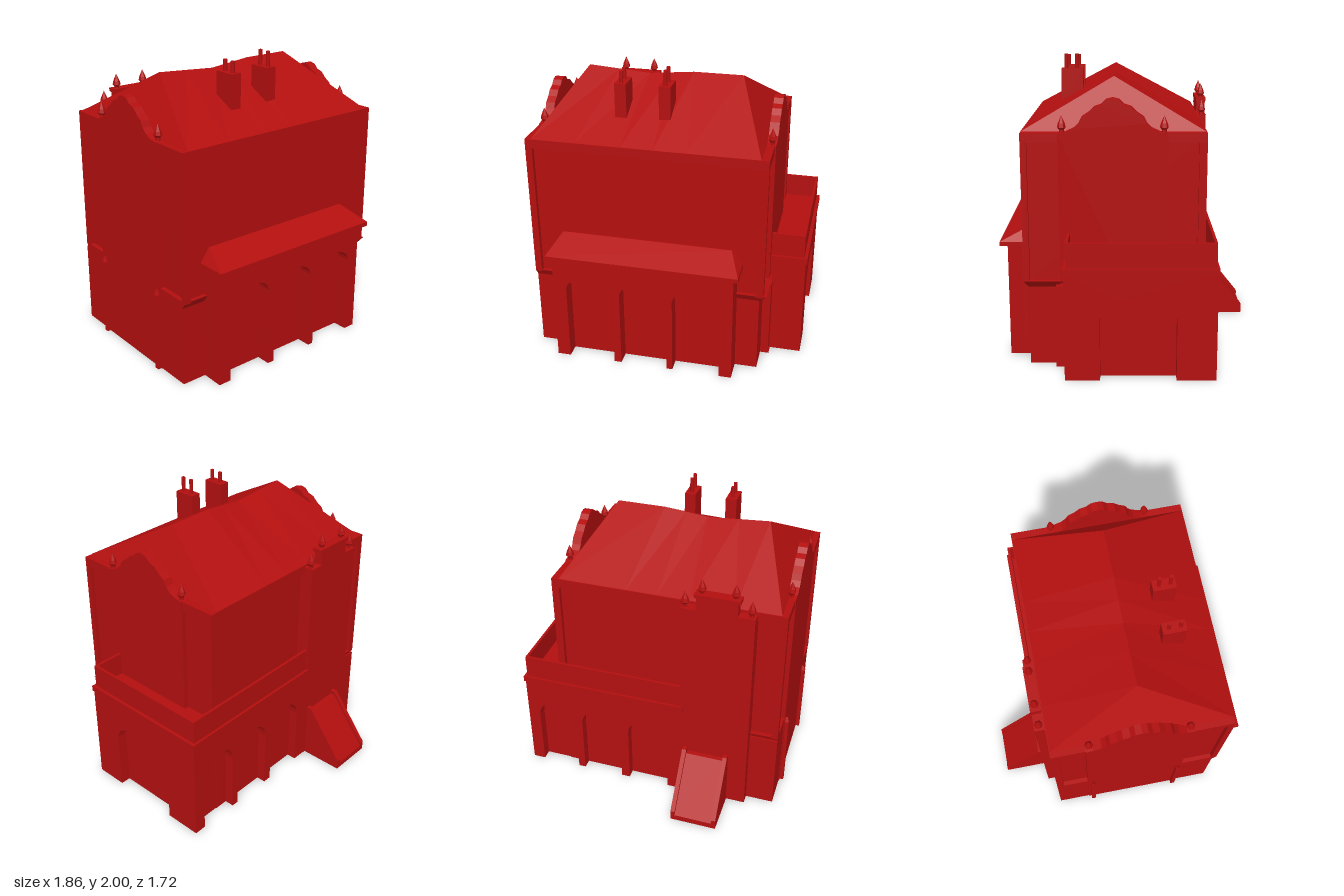
import * as THREE from 'three';

const material = new THREE.MeshStandardMaterial({ color: 0xb30f0f, flatShading: true, side: THREE.DoubleSide });

export function createModel() {
  const model = new THREE.Group();

  function add(name, geometry, parent = model) {
    const mesh = new THREE.Mesh(geometry, material);
    mesh.name = name;
    parent.add(mesh);
    return mesh;
  }

  // Box given by its limits
  function box(name, x0, x1, y0, y1, z0, z1, parent) {
    const g = new THREE.BoxGeometry(x1 - x0, y1 - y0, z1 - z0);
    g.translate((x0 + x1) / 2, (y0 + y1) / 2, (z0 + z1) / 2);
    return add(name, g, parent);
  }

  // Box whose bottom and top rectangles [x0, x1, z0, z1] differ
  function taperedBox(name, y0, y1, bottom, top) {
    const g = new THREE.BoxGeometry(1, 1, 1);
    const p = g.attributes.position;
    for (let i = 0; i < p.count; i++) {
      const up = p.getY(i) > 0;
      const r = up ? top : bottom;
      p.setXYZ(i, p.getX(i) < 0 ? r[0] : r[1], up ? y1 : y0, p.getZ(i) < 0 ? r[2] : r[3]);
    }
    g.computeVertexNormals();
    return add(name, g);
  }

  function extrude(points, depth) {
    const shape = new THREE.Shape(points.map(([x, y]) => new THREE.Vector2(x, y)));
    return new THREE.ExtrudeGeometry(shape, { depth, bevelEnabled: false });
  }

  // Wall open at the foot with arches [from, to]
  function arcade(name, a, b, height, arches, spring, rise, depth) {
    const pts = [[a, 0]];
    for (const [l, r] of arches) {
      pts.push([l, 0]);
      for (let i = 0; i <= 12; i++) {
        const t = Math.PI * (1 - i / 12);
        pts.push([(l + r) / 2 + Math.cos(t) * (r - l) / 2, spring + Math.sin(t) * rise]);
      }
      pts.push([r, 0]);
    }
    pts.push([b, 0], [b, height], [a, height]);
    return add(name, extrude(pts, depth));
  }

  function finial(x, y, z) {
    const profile = [[0, 0], [0.016, 0], [0.016, 0.02], [0.028, 0.035], [0.022, 0.06], [0, 0.11]];
    const g = new THREE.LatheGeometry(profile.map(([r, h]) => new THREE.Vector2(r, h)), 6);
    add('finial', g).position.set(x, y, z);
  }

  // Main house: lower storey, flared band and recessed upper walls
  box('lowerStorey', -0.9, 0.645, 0, 0.56, -0.49, 0.66);
  taperedBox('flaredBand', 0.54, 0.59, [-0.9, 0.65, -0.47, 0.66], [-0.9, 0.695, -0.49, 0.69]);
  box('upperWalls', -0.87, 0.65, 0.58, 1.52, -0.46, 0.66);
  box('cornice', -0.9, 0.675, 1.5, 1.56, -0.49, 0.69);
  for (const [x0, x1] of [[-0.9, -0.855], [0.625, 0.675]])
    for (const [z0, z1] of [[-0.49, -0.44], [0.65, 0.69]])
      box('cornerPost', x0, x1, 0.58, 1.51, z0, z1);

  // Hipped roof with a slightly sagging ridge
  const ridge = [[-0.64, 1.89], [-0.43, 1.875], [-0.22, 1.86], [-0.07, 1.875], [0.08, 1.89], [0.41, 1.89]];
  const eaveX = x => -0.86 + (x + 0.64) / 1.05 * 1.485;
  const v = [];
  const tri = (...c) => c.forEach(p => v.push(...p));
  const zb = -0.485, zf = 0.69, zr = 0.1, ye = 1.562;
  for (let i = 0; i < ridge.length - 1; i++) {
    const [xa, ya] = ridge[i], [xb, yb] = ridge[i + 1];
    const A = [xa, ya, zr], B = [xb, yb, zr];
    const ea = eaveX(xa), eb = eaveX(xb);
    tri([ea, ye, zf], [eb, ye, zf], B, [ea, ye, zf], B, A);
    tri([eb, ye, zb], [ea, ye, zb], A, [eb, ye, zb], A, B);
  }
  tri([-0.86, ye, zb], [-0.86, ye, zf], [-0.64, 1.89, zr]);
  tri([0.625, ye, zf], [0.625, ye, zb], [0.41, 1.89, zr]);
  const roof = new THREE.BufferGeometry();
  roof.setAttribute('position', new THREE.Float32BufferAttribute(v, 3));
  roof.computeVertexNormals();
  add('roof', roof);

  // Scrolled gables at both ends, each with two finials
  const half = [[0.347, 0], [0.347, 1.56], [0.3, 1.565], [0.245, 1.59], [0.215, 1.62], [0.195, 1.66],
    [0.15, 1.69], [0.115, 1.725], [0.07, 1.74], [0.04, 1.77], [0, 1.78]];
  const scroll = [...half, ...half.slice(0, -1).reverse().map(([x, y]) => [-x, y])];
  for (const [x, z, foot] of [[0.62, 0.105, 0], [-0.905, 0.08, 0]]) {
    const g = extrude(scroll, 0.062);
    g.rotateY(Math.PI / 2);
    g.translate(x, foot, z);
    add('gable', g);
    for (const s of [-1, 1]) finial(x + 0.035, 1.56, z + s * 0.322);
  }

  // Slim pilasters on the left side, buttress on the right
  for (const z of [-0.23, 0.4]) {
    box('leftPilaster', -0.93, -0.89, 0, 0.54, z - 0.015, z + 0.015);
    taperedBox('pilasterCap', 0.54, 0.575, [-0.93, -0.89, z - 0.015, z + 0.015], [-0.92, -0.89, z, z]);
  }
  box('rightButtress', 0.62, 0.7, 0.02, 0.56, 0.41, 0.48);
  box('buttressFoot', 0.62, 0.705, 0, 0.02, 0.41, 0.485);

  // Chimneys with paired pots
  for (const [x, y0, top] of [[-0.32, 1.67, 1.975], [-0.03, 1.68, 2]]) {
    const chimney = new THREE.Group();
    chimney.name = 'chimney';
    model.add(chimney);
    box('stack', x - 0.038, x + 0.038, y0, 1.9, 0.32, 0.47, chimney);
    for (const z of [0.363, 0.437]) {
      const pot = add('pot', new THREE.CylinderGeometry(0.013, 0.013, top - 1.88, 8), chimney);
      pot.position.set(x, (top + 1.88) / 2, z);
    }
  }

  // Front portico with three arches and a lean-to roof
  arcade('porticoArcade', -0.73, 0.495, 0.79, [[-0.64, -0.32], [-0.27, 0.05], [0.09, 0.41]], 0.54, 0.095, 0.1)
    .position.z = 0.712;
  box('porticoBack', -0.73, 0.495, 0, 0.79, 0.64, 0.715);
  box('porticoEaves', -0.755, 0.53, 0.78, 0.81, 0.65, 0.86);
  taperedBox('porticoRoof', 0.81, 0.9, [-0.755, 0.53, 0.65, 0.86], [-0.69, 0.455, 0.65, 0.665]);

  // Side and rear wing with arches, ledge and terrace parapet
  arcade('rearArcade', -0.25, 0.915, 0.73, [[-0.14, 0.15], [0.21, 0.5], [0.55, 0.83]], 0.42, 0.135, 0.075)
    .position.z = -0.555;
  const side = arcade('sideArcade', -0.415, 0.555, 0.73, [[-0.19, 0.3]], 0.42, 0.135, 0.075);
  side.rotation.y = Math.PI / 2;
  side.position.x = 0.84;
  box('wingCore', 0.6, 0.845, 0, 0.73, -0.485, 0.415);
  box('wingLedge', 0.6, 0.925, 0.71, 0.75, -0.562, 0.42);
  box('rearLedge', -0.25, 0.61, 0.71, 0.75, -0.562, -0.45);
  box('sideParapet', 0.885, 0.903, 0.75, 0.912, -0.545, 0.402);
  box('rearParapet', -0.25, 0.9, 0.75, 0.912, -0.545, -0.527);
  box('frontParapet', 0.67, 0.9, 0.75, 0.912, 0.384, 0.402);

  // Rear stepped tower with four finials
  box('tower', -0.71, -0.23, 0, 1.545, -0.557, -0.45);
  box('towerCrown', -0.6, -0.33, 1.54, 1.64, -0.557, -0.495);
  box('towerCoping', -0.615, -0.315, 1.635, 1.66, -0.56, -0.49);
  for (const x of [-0.68, -0.25]) finial(x, 1.545, -0.525);
  for (const x of [-0.575, -0.36]) finial(x, 1.65, -0.525);

  // Sloping ramp between raised side walls
  const slope = (x0, x1, drop, name) => {
    const g = extrude([[0.5, 0], [0.86, 0], [0.86, 0.07 - drop], [0.59, 0.41 - drop], [0.5, 0.41 - drop]], x1 - x0);
    g.rotateY(Math.PI / 2);
    g.translate(x0, 0, 0);
    add(name, g);
  };
  slope(-0.55, -0.29, 0.03, 'ramp');
  slope(-0.58, -0.55, 0, 'rampSideWall');
  slope(-0.29, -0.26, 0, 'rampSideWall');

  return model;
}
